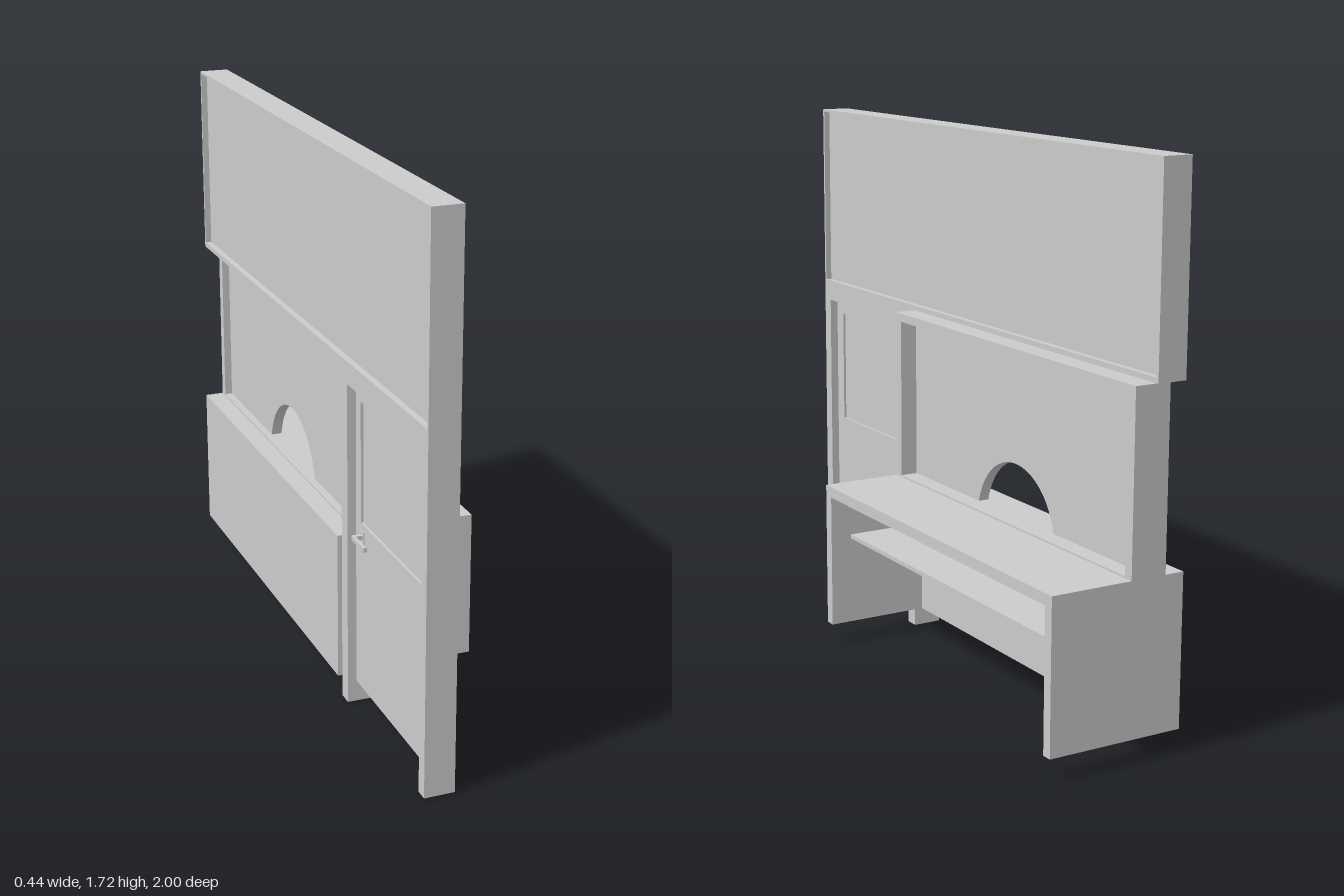
import * as THREE from 'three';

const material = new THREE.MeshStandardMaterial({ color: 0xcccccc });

export function createModel() {
  const root = new THREE.Group();

  function add(name, geometry) {
    const mesh = new THREE.Mesh(geometry, material);
    mesh.name = name;
    root.add(mesh);
    return mesh;
  }

  // Box given by its limits on each axis
  function box(name, x0, x1, y0, y1, z0, z1) {
    const mesh = add(name, new THREE.BoxGeometry(x1 - x0, y1 - y0, z1 - z0));
    mesh.position.set((x0 + x1) / 2, (y0 + y1) / 2, (z0 + z1) / 2);
    return mesh;
  }

  // Closed outline from [z, y] pairs; z is stored negated for the turn in panel()
  const outline = (Type, pts) => new Type(pts.map(([z, y]) => new THREE.Vector2(-z, y)));
  // Counter-clockwise once z is negated
  const rect = (z0, z1, y0, y1) => [[z1, y0], [z0, y0], [z0, y1], [z1, y1]];

  // Flat shape standing in the z-y plane, extruded from x0 to x1
  function panel(name, x0, x1, shape) {
    const geometry = new THREE.ExtrudeGeometry(shape, { depth: x1 - x0, bevelEnabled: false });
    geometry.rotateY(Math.PI / 2);
    geometry.translate(x0, 0, 0);
    return add(name, geometry);
  }

  function frame(name, x0, x1, outer, inner) {
    const shape = outline(THREE.Shape, rect(...outer));
    shape.holes.push(outline(THREE.Path, rect(...inner)));
    return panel(name, x0, x1, shape);
  }

  const back = -0.208, front = -0.113;

  // Upper partition: thin frame with a recessed panel
  frame('upperFrame', back, front, [-1, 1, 1.097, 1.717], [-0.992, 0.992, 1.113, 1.709]);
  box('upperPanel', -0.188, -0.133, 1.113, 1.709, -0.992, 0.992);

  // Door surround: two posts and a header
  box('outerPost', back, front, 0, 1.097, 0.96, 1);
  box('innerPost', back, front, 0, 1.097, 0.352, 0.4);
  box('doorHeader', back, front, 1.043, 1.097, 0.4, 0.96);

  // Door leaf with a shallow window
  frame('doorLeaf', -0.18, -0.14, [0.4, 0.96, 0.07, 1.043], [0.438, 0.915, 0.615, 0.997]);
  box('doorWindow', -0.172, -0.148, 0.615, 0.997, 0.438, 0.915);

  // Door handle on the back face
  box('handlePlate', -0.184, -0.18, 0.555, 0.595, 0.44, 0.47);
  box('handleStem', -0.208, -0.18, 0.57, 0.584, 0.45, 0.464);
  box('handleLever', -0.215, -0.205, 0.57, 0.584, 0.45, 0.55);

  // Service window frame
  frame('serviceWindowFrame', -0.16, -0.043, [-0.993, 0.352, 0.54, 1.097], [-0.96, 0.317, 0.549, 1.07]);

  // Service window pane with an arched opening at the bottom
  const arch = [];
  const half = Math.asin(0.051 / 0.22);
  for (let i = 0; i <= 32; i++) {
    const a = half + (Math.PI - 2 * half) * (i / 32);
    arch.push([-0.3 - 0.22 * Math.cos(a), 0.498 + 0.22 * Math.sin(a)]);
  }
  panel('serviceWindowPane', -0.135, -0.1, outline(THREE.Shape, [
    [0.317, 0.549], [0.317, 1.07], [-0.96, 1.07], [-0.96, 0.549], ...arch,
  ]));

  // Counter: top, sides, thick back board and shelf, open at the front and below
  box('counterTop', -0.222, 0.222, 0.508, 0.543, -0.993, 0.352);
  for (const [name, z0, z1] of [['counterLeftSide', 0.317, 0.352], ['counterRightSide', -0.993, -0.96]]) {
    box(name, -0.222, 0.222, 0.07, 0.508, z0, z1);
  }
  box('counterBackBoard', -0.222, -0.12, 0.07, 0.508, -0.96, 0.317);
  box('counterShelf', -0.12, 0.15, 0.358, 0.372, -0.96, 0.317);

  return root;
}
